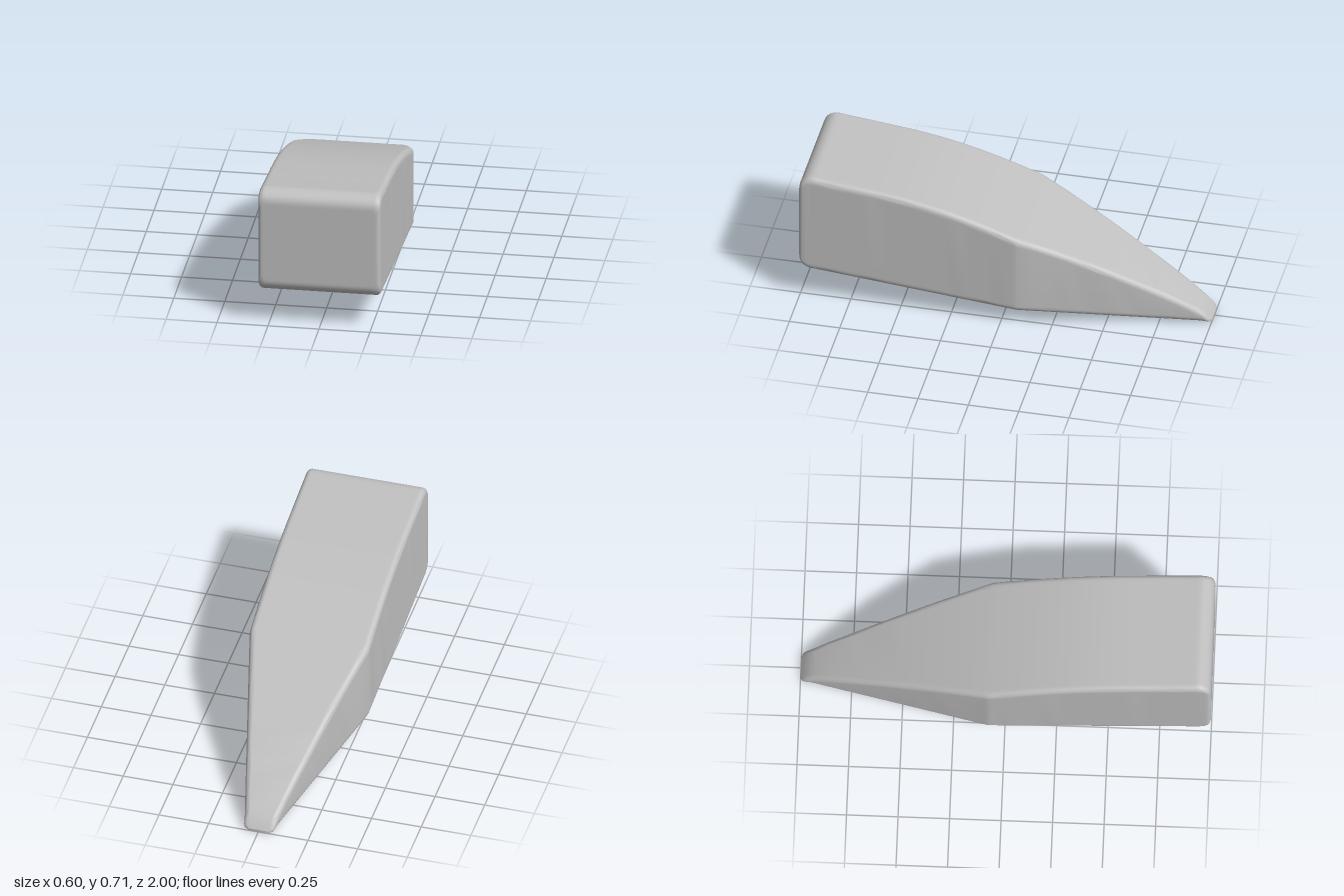
import * as THREE from 'three';
import { toCreasedNormals } from 'three/addons/utils/BufferGeometryUtils.js';

const grey = new THREE.MeshStandardMaterial({ color: 0xc0c0c0 });
grey.name = 'grey';

// Side profile: curved back, straight sloping belly
const crown = new THREE.CatmullRomCurve3([
  [0.93, 0.713], [0.4, 0.645], [0, 0.532], [-0.4, 0.365], [-0.8, 0.158], [-0.93, 0.08], [-0.97, 0.047], [-1, 0.012],
].map(([z, y]) => new THREE.Vector3(0, y, z)), false, 'centripetal').getPoints(400);

function topAt(z) {
  const i = Math.max(1, crown.findIndex((p) => p.z <= z + 1e-6));
  const a = crown[i - 1], b = crown[i];
  return THREE.MathUtils.mapLinear(z, a.z, b.z, a.y, b.y);
}
const bottomAt = (z) => 0.0915 * (z + 1);

// Half width: parallel sides, then a straight taper to a small rounded tip
function halfWidth(z) {
  if (z > 0.98) return 0.28 + Math.sqrt(Math.max(0, 0.0004 - (z - 0.98) ** 2));
  if (z > -0.08) return 0.3;
  if (z > -0.96) return 0.3 - (0.22 * (-0.08 - z)) / 0.88;
  return 0.055 + 0.025 * Math.sqrt(Math.max(0, 1 - ((z + 0.96) / 0.04) ** 2));
}

// Rounded rectangle, anticlockwise from the front, with points holding the flats
function section(z, w, b, t, inset = 0) {
  const rx = Math.min(0.025, w * 0.4), ry = Math.min(0.03, (t - b) * 0.45);
  const cx = w - rx, cy = (t - b) / 2 - ry, mid = (t + b) / 2;
  const pts = [];
  [[1, 1], [-1, 1], [-1, -1], [1, -1]].forEach(([sx, sy], q) => {
    const put = (x, y) => pts.push([x * (1 - inset), mid + y * (1 - inset), z]);
    const before = q % 2 === 0, hx = sx * cx, hy = sy * cy;
    if (before) put(sx * w, hy * 0.96); else put(hx * 0.96, sy * (cy + ry));
    for (let k = 0; k <= 5; k++) {
      const a = (q + k / 5) * Math.PI / 2;
      put(hx + rx * Math.cos(a), hy + ry * Math.sin(a));
    }
    if (before) put(hx * 0.96, sy * (cy + ry)); else put(sx * w, hy * 0.96);
  });
  return pts;
}

function wedgeGeometry() {
  const rings = [];
  // Flat front face and its rounded edge
  const edge = (a, inset = 0) => {
    const z = 0.93 + 0.07 * Math.sin(a), drop = 0.065 * (1 - Math.cos(a));
    rings.push(section(z, halfWidth(z), bottomAt(0.93) + drop, topAt(0.93) - drop, inset));
  };
  edge(Math.PI / 2, 0.04);
  for (let k = 10; k >= 0; k--) edge((k / 10) * Math.PI / 2);
  // Body from front to tip
  const stops = [0.91];
  for (let z = 0.84; z > -0.04; z -= 0.07) stops.push(z);
  stops.push(-0.06, -0.075, -0.085, -0.1);
  for (let z = -0.17; z > -0.92; z -= 0.07) stops.push(z);
  stops.push(-0.93, -0.95, -0.965, -0.98, -0.99, -1);
  stops.forEach((z) => rings.push(section(z, halfWidth(z), bottomAt(z), topAt(z))));

  const n = rings[0].length, pos = rings.flat(2), idx = [];
  for (let r = 0; r < rings.length - 1; r++) {
    for (let i = 0; i < n; i++) {
      const a = r * n + i, b = r * n + (i + 1) % n;
      idx.push(a, a + n, b, b, a + n, b + n);
    }
  }
  // End caps
  const cap = (r, front) => {
    const centre = pos.length / 3;
    const ys = rings[r].map((p) => p[1]);
    pos.push(0, (Math.max(...ys) + Math.min(...ys)) / 2, rings[r][0][2]);
    for (let i = 0; i < n; i++) {
      const a = r * n + i, b = r * n + (i + 1) % n;
      idx.push(centre, front ? a : b, front ? b : a);
    }
  };
  cap(0, true);
  cap(rings.length - 1, false);

  const geo = new THREE.BufferGeometry();
  geo.setAttribute('position', new THREE.Float32BufferAttribute(pos, 3));
  geo.setIndex(idx);
  return toCreasedNormals(geo, 0.6);
}

export function createModel() {
  const group = new THREE.Group();
  group.name = 'taperedWedge';
  const body = new THREE.Mesh(wedgeGeometry(), grey);
  body.name = 'wedgeBody';
  group.add(body);
  return group;
}
